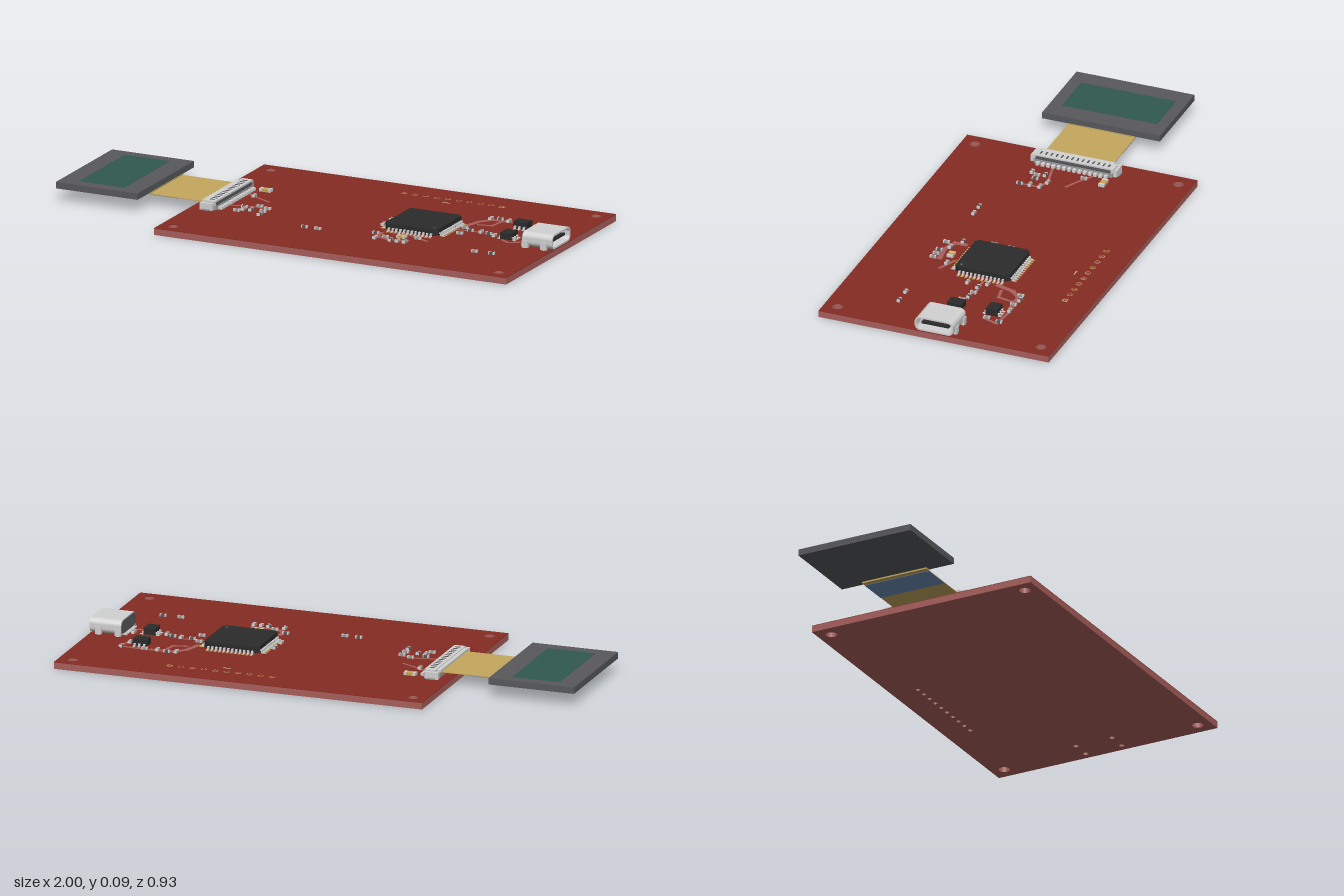
import * as THREE from 'three';

const mat = (name, color, side = THREE.FrontSide) => {
  const m = new THREE.MeshStandardMaterial({ color, side });
  m.name = name;
  return m;
};

export function createModel() {
  const root = new THREE.Group();
  root.name = 'circuitBoard';
  const red = mat('solderMaskRed', 0x852b22), core = mat('boardPink', 0xaa5f5c);
  const grey = mat('displayGrey', 0x58595c), teal = mat('screenTeal', 0x30594f);
  const gold = mat('gold', 0xc4a75c), blue = mat('stiffenerBlue', 0x6a8db5);
  const silver = mat('silver', 0xd2d2d2), black = mat('chipBlack', 0x2b2b2b);
  const steel = mat('steel', 0x9a9a9a);
  const TOP = 0.027;

  const group = (name, parent = root) => {
    const g = new THREE.Group();
    g.name = name;
    parent.add(g);
    return g;
  };
  const add = (name, geo, m, parent = root) => {
    const mesh = new THREE.Mesh(geo, m);
    mesh.name = name;
    parent.add(mesh);
    return mesh;
  };
  // Box given by its min and max on each axis
  const box = (name, m, x0, x1, y0, y1, z0, z1, parent = root) => {
    const b = add(name, new THREE.BoxGeometry(x1 - x0, y1 - y0, z1 - z0), m, parent);
    b.position.set((x0 + x1) / 2, (y0 + y1) / 2, (z0 + z1) / 2);
    return b;
  };
  // Horizontal plate from a shape drawn in x and -z
  const plate = (name, shape, m, y, depth, parent = root, bevelEnabled = false) => {
    const geo = new THREE.ExtrudeGeometry(shape, { depth, bevelEnabled, curveSegments: 10 });
    geo.rotateX(-Math.PI / 2);
    const p = add(name, geo, m, parent);
    p.position.y = y;
    return p;
  };
  const polygon = pts => new THREE.Shape(pts.map(p => new THREE.Vector2(...p)));

  // Board with mounting, header and connector holes
  const outline = polygon([[-0.475, -0.467], [1, -0.467], [1, 0.467], [-0.475, 0.467]]);
  const hole = (x, z, r) => {
    const p = new THREE.Path();
    p.absarc(x, -z, r, 0, Math.PI * 2, true);
    outline.holes.push(p);
  };
  for (const z of [-0.413, 0.413]) for (const x of [-0.42, 0.943]) hole(x, z, 0.022);
  const headerX = Array.from({ length: 10 }, (_, i) => 0.165 + i * 0.0456);
  headerX.forEach(x => hole(x, -0.36, 0.009));
  for (const z of [-0.077, 0.077]) for (const x of [0.888, 0.965]) hole(x, z, 0.011);
  plate('boardCore', outline, core, 0, TOP - 0.002);
  plate('solderMask', outline, red, TOP - 0.002, 0.002);

  // Gold rings round the header holes
  const header = group('headerPads');
  headerX.forEach((x, i) => {
    const ring = new THREE.RingGeometry(0.0088, i === 9 ? 0.015 : 0.0115, i === 9 ? 4 : 14);
    ring.rotateZ(Math.PI / 4).rotateX(-Math.PI / 2);
    add('headerPad', ring, gold, header).position.set(x, TOP + 0.0006, -0.36);
  });
  box('silkMark', silver, 0.348, 0.378, TOP, TOP + 0.0008, -0.317, -0.313);

  // Display panel and its flat cable
  const display = group('display');
  box('displayPanel', grey, -1, -0.657, 0.052, 0.077, -0.24, 0.238, display);
  box('screen', teal, -0.926, -0.736, 0.077, 0.0778, -0.196, 0.19, display);
  box('flatCable', gold, -0.66, -0.425, 0.046, 0.049, -0.141, 0.133, display);
  box('cableTab', gold, -0.68, -0.655, 0.046, 0.053, -0.141, 0.133, display);
  box('cableStiffener', blue, -0.66, -0.535, 0.0445, 0.046, -0.141, 0.133, display);

  // Flat cable connector
  const fpc = group('cableConnector');
  box('connectorBase', steel, -0.43, -0.368, TOP, 0.044, -0.164, 0.155, fpc);
  box('connectorLid', silver, -0.418, -0.374, 0.044, 0.061, -0.168, 0.158, fpc);
  box('lidLip', silver, -0.434, -0.418, 0.05, 0.058, -0.15, 0.14, fpc);
  box('lidGroove', grey, -0.376, -0.37, 0.044, 0.055, -0.155, 0.147, fpc);
  for (const z of [-0.17, 0.161]) {
    box('connectorEar', silver, -0.432, -0.378, TOP, 0.054, z - 0.009, z + 0.009, fpc);
    box('earFoot', steel, -0.42, -0.39, TOP, 0.032, z - 0.015, z + 0.015, fpc);
  }
  for (let i = 0; i < 14; i++) {
    const z = -0.142 + i * 0.0212;
    box('connectorPin', silver, -0.372, -0.352, TOP, 0.038, z - 0.0065, z + 0.0065, fpc);
    box('connectorRib', grey, -0.405, -0.385, 0.061, 0.0625, z - 0.003, z + 0.003, fpc);
  }

  // Gull-wing leg pointing to +x from the chip edge
  const leg = (parent, x, y0, z, angle, cx, cz, w) => {
    const g = group('leg', parent);
    box('legShoulder', silver, x - 0.003, x + 0.008, y0 + 0.008, y0 + 0.012, z - w, z + w, g);
    box('legDrop', silver, x + 0.005, x + 0.009, y0, y0 + 0.012, z - w, z + w, g);
    box('legFoot', silver, x + 0.008, x + 0.017, y0, y0 + 0.003, z - w, z + w, g);
    g.rotation.y = angle;
    g.position.set(cx, 0, cz);
  };

  // Main processor, with legs and pads on four sides
  const cpu = group('processor');
  const h = 0.11, c = 0.012;
  plate('processorBody', polygon([[-h + c, -h], [h - c, -h], [h, -h + c], [h, h - c],
    [h - c, h], [-h + c, h], [-h, h - c], [-h, -h + c]]), black, 0.031, 0.025, cpu)
    .position.set(0.422, 0.031, -0.003);
  const dot = add('pinOneMark', new THREE.CylinderGeometry(0.006, 0.006, 0.001, 12), grey, cpu);
  dot.position.set(0.512, 0.0563, 0.086);
  for (let s = 0; s < 4; s++) {
    const a = s * Math.PI / 2;
    for (let i = 0; i < 12; i++) {
      const t = -0.088 + i * 0.016;
      leg(cpu, h, TOP + 0.001, t, a, 0.422, -0.003, 0.0038);
      const pad = group('padHolder', cpu);
      box('pad', gold, h + 0.006, h + 0.024, TOP, TOP + 0.001, t - 0.005, t + 0.005, pad);
      pad.rotation.y = a;
      pad.position.set(0.422, 0, -0.003);
    }
  }

  // Two small three-by-three legged chips
  for (const [cx, cz, turn] of [[0.765, -0.149, Math.PI / 2], [0.78, -0.002, 0]]) {
    const chip = group('smallChip');
    const b = box('smallChipBody', black, -0.023, 0.023, 0.03, 0.055, -0.029, 0.029, chip);
    b.position.set(0, b.position.y, 0);
    for (const a of [0, Math.PI])
      for (const z of [-0.019, 0, 0.019]) leg(chip, 0.021, TOP, z, a, 0, 0, 0.004);
    chip.rotation.y = turn;
    chip.position.set(cx, 0, cz);
  }

  // Socket at the right edge: rounded shell, tongue and legs
  const socket = group('socket');
  const rounded = (Type, w, hgt, r) => {
    const s = new Type();
    const x = w / 2 - r, y = hgt / 2 - r;
    s.absarc(x, y, r, 0, Math.PI / 2);
    s.absarc(-x, y, r, Math.PI / 2, Math.PI);
    s.absarc(-x, -y, r, Math.PI, Math.PI * 1.5);
    s.absarc(x, -y, r, Math.PI * 1.5, Math.PI * 2);
    s.closePath();
    return s;
  };
  const tube = (name, shape, depth, m, x) => {
    const geo = new THREE.ExtrudeGeometry(shape, { depth, bevelEnabled: false, curveSegments: 8 });
    add(name, geo.rotateY(Math.PI / 2), m, socket).position.set(x, 0.0575, -0.001);
  };
  const shell = rounded(THREE.Shape, 0.156, 0.057, 0.022);
  shell.holes.push(rounded(THREE.Path, 0.143, 0.044, 0.017));
  tube('socketShell', shell, 0.125, silver, 0.875);
  tube('socketBack', rounded(THREE.Shape, 0.15, 0.05, 0.02), 0.03, grey, 0.872);
  box('socketTongue', black, 0.89, 0.988, 0.053, 0.062, -0.056, 0.054, socket);
  for (const s of [-1, 1]) for (const x of [0.888, 0.965]) {
    const z = s * 0.077;
    box('shellTab', silver, x - 0.012, x + 0.012, TOP, 0.056, z - 0.006, z + 0.006, socket);
    box('shellLeg', silver, x - 0.007, x + 0.007, 0.006, TOP, z - 0.004, z + 0.004, socket);
  }
  for (let i = 0; i < 10; i++) {
    const z = -0.054 + i * 0.0118;
    box('socketPin', silver, 0.86, 0.877, TOP, 0.032, z - 0.0035, z + 0.0035, socket);
  }

  // Exposed copper traces as thin ribbons through x, z points
  const traces = group('traces');
  const trace = (w, ...pts) => {
    for (let i = 1; i < pts.length; i++) {
      const [x0, z0] = pts[i - 1], [x1, z1] = pts[i];
      const t = add('trace', new THREE.BoxGeometry(Math.hypot(x1 - x0, z1 - z0) + w, 0.001, w), core, traces);
      t.position.set((x0 + x1) / 2, TOP + 0.0004, (z0 + z1) / 2);
      t.rotation.y = -Math.atan2(z1 - z0, x1 - x0);
    }
  };
  trace(0.02, [0.565, -0.085], [0.585, -0.15], [0.62, -0.19], [0.71, -0.195]);
  trace(0.012, [0.6, -0.11], [0.65, -0.12], [0.66, -0.18]);
  trace(0.012, [0.75, -0.2], [0.84, -0.19], [0.82, -0.13]);
  trace(0.01, [0.56, -0.02], [0.64, -0.025]);
  trace(0.012, [0.77, 0.03], [0.8, 0.05], [0.85, 0.02]);
  trace(0.01, [-0.35, -0.09], [-0.3, -0.06], [-0.24, -0.03]);
  trace(0.01, [-0.35, 0.07], [-0.26, 0.05], [-0.2, 0.06], [-0.2, 0.13]);
  trace(0.02, [0.32, 0.15], [0.32, 0.19], [0.38, 0.21], [0.45, 0.2]);
  trace(0.012, [0.45, 0.14], [0.52, 0.17]);

  // Tiny two-ended parts: x, z, and 1 when turned along z
  const parts = [
    [-0.29, 0.075, 0], [-0.28, 0.105, 1], [-0.295, 0.13, 0], [-0.25, 0.1, 1], [-0.2, 0.06, 0],
    [-0.2, 0.1, 0], [-0.195, 0.14, 1], [-0.24, 0.045, 0], [-0.32, -0.07, 1], [0.03, 0.212, 0],
    [0.085, 0.212, 0], [0.745, 0.218, 0], [0.815, 0.215, 0], [0.33, 0.222, 1], [0.36, 0.195, 0],
    [0.395, 0.225, 1], [0.425, 0.225, 1], [0.455, 0.225, 1], [0.305, 0.165, 0], [0.48, 0.16, 0],
    [0.61, -0.195, 1], [0.645, -0.205, 0], [0.685, -0.195, 1], [0.735, -0.2, 0], [0.83, -0.195, 1],
    [0.815, -0.14, 1], [0.575, -0.045, 0], [0.61, -0.02, 0], [0.655, -0.02, 1], [0.72, 0, 1],
    [0.69, -0.015, 0], [0.845, -0.02, 1], [0.59, 0.03, 0], [0.28, -0.02, 1], [0.28, 0.05, 1],
  ];
  const smd = (x, z, turned, L, w, top, body) => {
    const g = group('smallPart');
    box('partBody', body, -L * 0.3, L * 0.3, TOP, top, -w, w, g);
    for (const s of [-1, 1])
      box('partEnd', silver, s * L * 0.4 - L * 0.1, s * L * 0.4 + L * 0.1, TOP, top + 0.001, -w, w, g);
    g.rotation.y = turned ? Math.PI / 2 : 0;
    g.position.set(x, 0, z);
  };
  parts.forEach(([x, z, t], i) => smd(x, z, t, 0.024, 0.006, 0.036, i % 3 ? steel : grey));
  smd(-0.312, -0.152, 0, 0.046, 0.012, 0.038, gold);
  smd(0.415, 0.168, 0, 0.034, 0.013, 0.036, gold);
  return root;
}
